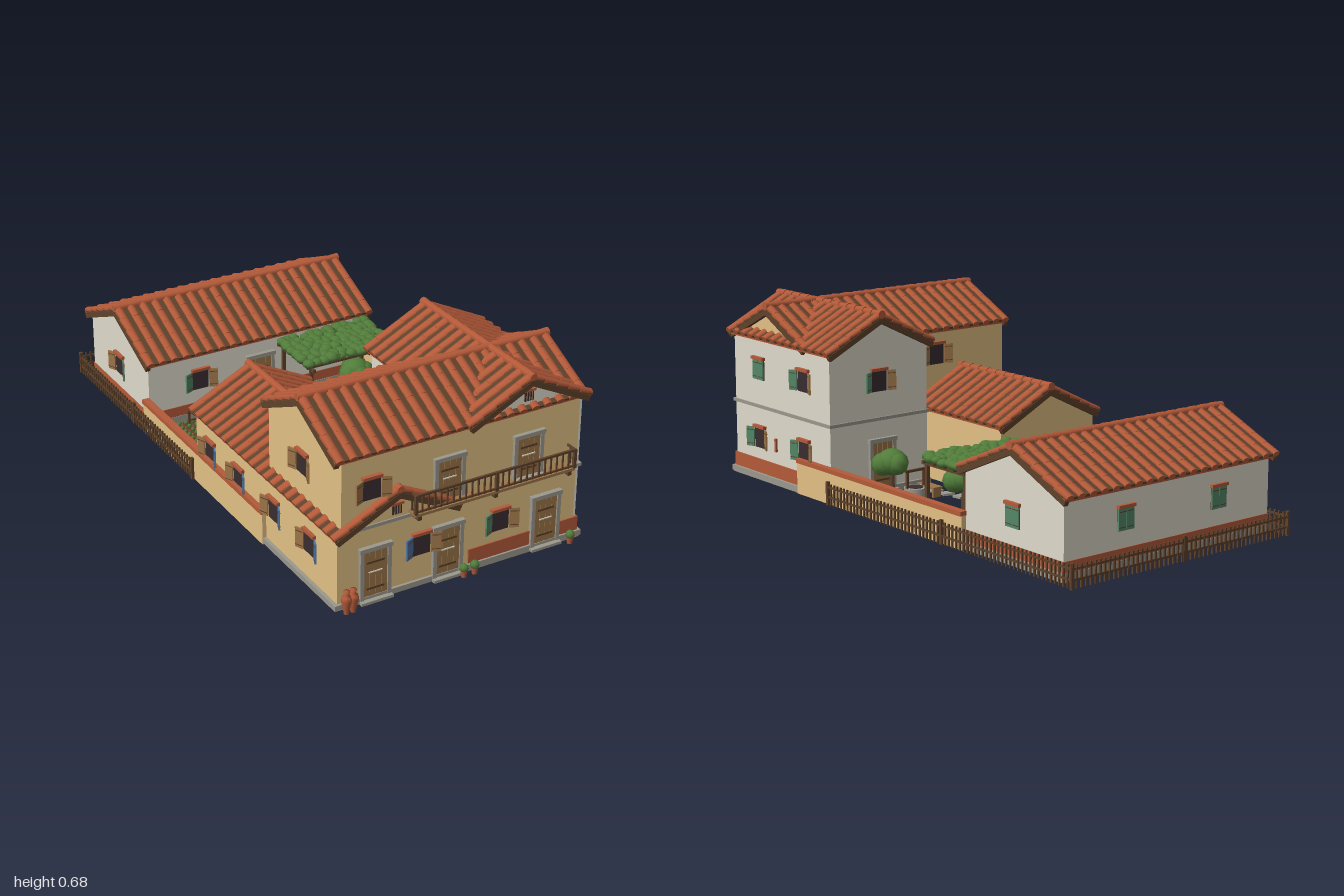
import * as THREE from 'three';
import { mergeGeometries } from 'three/addons/utils/BufferGeometryUtils.js';

const mat = (name, color) => {
  const m = new THREE.MeshStandardMaterial({ color });
  m.name = name;
  return m;
};
const M = {
  tan: mat('ochre plaster', 0xe2c084), pale: mat('pale plaster', 0xdfdacb),
  tile: mat('terracotta', 0xb45a39), stone: mat('stone', 0x9b988d),
  wood: mat('wood', 0x9b7448), dark: mat('dark wood', 0x5e422b),
  hole: mat('dark opening', 0x392d30), leaf: mat('foliage', 0x527d3b),
  blue: mat('blue paint', 0x5076a4), green: mat('green paint', 0x558768),
};

// ---- helpers ----
function part(parent, name, material, ...geos) {
  const mesh = new THREE.Mesh(geos.length > 1 ? mergeGeometries(geos) : geos[0], material);
  mesh.name = name;
  parent.add(mesh);
  return mesh;
}
function group(parent, name, x = 0, y = 0, z = 0, ry = 0) {
  const g = new THREE.Group();
  g.name = name;
  g.position.set(x, y, z);
  g.rotation.y = ry;
  parent.add(g);
  return g;
}
const box = (w, h, d, x = 0, y = 0, z = 0) => new THREE.BoxGeometry(w, h, d).translate(x, y, z);
const span = (x0, x1, y0, y1, z0, z1) =>
  box(x1 - x0, y1 - y0, z1 - z0, (x0 + x1) / 2, (y0 + y1) / 2, (z0 + z1) / 2);
const ball = (r, x, y, z, sy = 1, n = 8) =>
  new THREE.SphereGeometry(r, n, Math.max(4, n - 2)).scale(1, sy, 1).translate(x, y, z);
const cyl = (rt, rb, h, x, y, z, n = 10) => new THREE.CylinderGeometry(rt, rb, h, n).translate(x, y, z);
let seed = 7;
const rand = () => (seed = (seed * 16807) % 2147483647) / 2147483647;

// Gable roof with its ridge along local x at y = 0: rows of cover tiles on a dark deck
function tiledRoof(parent, length, half, rise, rows = 5) {
  const a = Math.atan2(rise, half), slope = Math.hypot(half, rise), step = slope / rows;
  const tiles = [box(length, 0.014, 0.012, 0, -rise - 0.006, half - 0.012)];
  const deck = [box(length, 0.01, slope).translate(0, -0.002, slope / 2).rotateX(a)];
  const count = Math.round(length / 0.05), pitch = (length - 0.03) / count;
  for (let r = 0; r < rows; r++) {
    const mid = (r + 0.5) * step;
    for (let i = 0; i <= count; i++) {
      tiles.push(new THREE.CylinderGeometry(0.0155, 0.018, step * 1.08, 8, 1).rotateX(Math.PI / 2).scale(1, 0.72, 1)
        .rotateX(a - 0.05).translate((i - count / 2) * pitch, -Math.sin(a) * mid, Math.cos(a) * mid));
    }
  }
  for (const x of [-length / 2 + 0.008, length / 2 - 0.008])
    deck.push(box(0.018, 0.02, slope).translate(0, -0.018, slope / 2).rotateX(a).translate(x, 0, 0));
  for (const ry of [0, Math.PI]) {
    const side = group(parent, 'roofSlope', 0, 0, 0, ry);
    part(side, 'roofTiles', M.tile, ...tiles);
    part(side, 'roofDeck', M.dark, ...deck);
  }
  const caps = [], capStep = length / count;
  for (let i = 0; i < count; i++)
    caps.push(new THREE.CylinderGeometry(0.013, 0.016, capStep * 1.1, 8).rotateZ(Math.PI / 2)
      .translate(-length / 2 + (i + 0.5) * capStep, 0.002, 0));
  part(parent, 'ridgeTiles', M.tile, ...caps);
}

// House with pentagon walls: wall and roof lengths follow the ridge, halves cross it
function house(parent, name, o) {
  const g = group(parent, name, o.x, 0, o.z, o.turn ? Math.PI / 2 : 0);
  const rise = o.ridge - o.eave, top = o.ridge - 0.012;
  const low = top - rise * o.wallHalf / o.roofHalf;
  const s = new THREE.Shape([[-o.wallHalf, o.y0], [o.wallHalf, o.y0], [o.wallHalf, low], [0, top], [-o.wallHalf, low]]
    .map(p => new THREE.Vector2(...p)));
  part(g, 'walls', o.mat, new THREE.ExtrudeGeometry(s, { depth: o.wallLen, bevelEnabled: false })
    .translate(0, 0, -o.wallLen / 2).rotateY(Math.PI / 2));
  tiledRoof(group(g, 'roof', 0, o.ridge, 0), o.roofLen, o.roofHalf, rise);
}

// Window facing local +z; paintSide is the side of the painted shutter, 0 closes both
function addWindow(parent, x, y, z, ry, paint, paintSide = -1) {
  const g = group(parent, 'window', x, y, z, ry);
  part(g, 'opening', M.hole, box(0.066, 0.076, 0.006));
  part(g, 'lintel', M.tile, box(0.074, 0.011, 0.024, 0, 0.043, 0));
  for (const s of [-1, 1]) {
    const open = paintSide !== 0;
    const leafGroup = group(g, 'shutter', s * 0.034, 0, 0.004, open ? -s * 0.4 : 0);
    const cx = open ? s * 0.018 : -s * 0.017;
    part(leafGroup, 'shutterPanel', !open || s === paintSide ? paint : M.wood, box(0.033, 0.074, 0.006, cx, 0, 0));
    part(leafGroup, 'shutterBattens', M.dark, ...[-0.026, 0.026].map(v => box(0.028, 0.003, 0.008, cx, v, 0)));
  }
}
// Plank door facing local +z, y at its threshold
function addDoor(parent, x, y, z, ry, h = 0.19) {
  const g = group(parent, 'door', x, y, z, ry);
  part(g, 'planks', M.wood, ...[-1.5, -0.5, 0.5, 1.5].map(i => box(0.0215, h, 0.01, i * 0.0225, h / 2, 0)));
  part(g, 'doorStraps', M.dark, box(0.088, h, 0.006, 0, h / 2, 0),
    ...[0.25, 0.76].map(k => box(0.066, 0.007, 0.014, 0, h * k, 0)));
  part(g, 'latch', M.pale, box(0.05, 0.004, 0.016, 0, h * 0.57, 0));
  part(g, 'stoneFrame', M.stone, box(0.014, h, 0.02, -0.051, h / 2, 0), box(0.014, h, 0.02, 0.051, h / 2, 0),
    box(0.122, 0.015, 0.026, 0, h + 0.006, 0), box(0.12, 0.01, 0.04, 0, 0.005, 0.004));
}
function addVent(parent, x, y, z) {
  const g = group(parent, 'gableVent', x, y, z);
  part(g, 'opening', M.hole, box(0.034, 0.036, 0.008));
  part(g, 'ventBars', M.wood, ...[-0.01, 0, 0.01].map(v => box(0.003, 0.036, 0.012, v, 0, 0)));
  part(g, 'lintel', M.tile, box(0.046, 0.009, 0.016, 0, 0.021, 0));
}
function addFence(parent, x, z, length, ry) {
  const g = group(parent, 'fence', x, 0, z, ry), n = Math.round(length / 0.02);
  const bars = [box(length, 0.007, 0.005, 0, 0.03, 0), box(length, 0.007, 0.005, 0, 0.066, 0)];
  for (let i = 0; i <= n; i++) bars.push(box(0.006, 0.078, 0.006, (i / n - 0.5) * length, 0.04, 0));
  for (const v of [-0.5, 0, 0.5]) bars.push(box(0.012, 0.086, 0.01, v * length, 0.043, 0));
  part(g, 'pickets', M.dark, ...bars);
}
function addTree(parent, x, z) {
  const g = group(parent, 'tree', x, 0, z);
  part(g, 'trunk', M.dark, cyl(0.008, 0.012, 0.14, 0, 0.07, 0, 7));
  part(g, 'crown', M.leaf, ball(0.056, 0, 0.168, 0, 0.85, 10), ball(0.042, 0.03, 0.16, 0.015),
    ball(0.042, -0.03, 0.16, 0.01), ball(0.04, 0, 0.165, -0.03), ball(0.04, 0, 0.16, 0.03));
}

export function createModel() {
  const root = new THREE.Group();
  root.name = 'courtyardFarmhouse';
  const H = Math.PI / 2;

  // Four houses: wide front block, tall cross wing, low wing, rear barn
  house(root, 'frontHouse', { x: 0, z: 0.715, y0: 0.002, eave: 0.545, ridge: 0.664, wallHalf: 0.235, roofHalf: 0.245,
    wallLen: 0.905, roofLen: 0.955, mat: M.tan });
  house(root, 'crossWing', { x: 0.248, z: 0.6375, y0: 0.004, eave: 0.545, ridge: 0.663, wallHalf: 0.217, roofHalf: 0.238,
    wallLen: 0.615, roofLen: 0.66, turn: true, mat: M.pale });
  house(root, 'lowWing', { x: -0.247, z: 0.461, y0: 0.002, eave: 0.275, ridge: 0.393, wallHalf: 0.22, roofHalf: 0.238,
    wallLen: 0.982, roofLen: 1.02, turn: true, mat: M.tan });
  house(root, 'rearBarn', { x: 0, z: -0.68, y0: 0.004, eave: 0.28, ridge: 0.4, wallHalf: 0.245, roofHalf: 0.275,
    wallLen: 0.92, roofLen: 0.955, mat: M.pale });

  // Stone footings, string course and red plinths
  part(root, 'footings', M.stone, span(-0.48, 0.48, 0.006, 0.026, 0.48, 0.962),
    span(0.02, 0.475, 0, 0.026, 0.32, 0.96), span(-0.465, 0.465, 0, 0.03, -0.93, -0.43));
  part(root, 'stringCourse', M.stone, span(-0.456, 0.47, 0.274, 0.286, 0.6, 0.957), span(0.025, 0.47, 0.274, 0.286, 0.325, 0.62));
  part(root, 'plinths', M.tile, span(0.03, 0.469, 0.026, 0.078, 0.52, 0.955),
    span(-0.463, 0.463, 0.03, 0.068, -0.928, -0.432));

  // Front openings
  for (const x of [-0.33, -0.055, 0.33]) addDoor(root, x, 0.006, 0.955, 0);
  for (const x of [-0.055, 0.25]) addDoor(root, x, 0.29, 0.952, 0, 0.156);
  addWindow(root, -0.345, 0.418, 0.953, 0, M.wood);
  addWindow(root, -0.155, 0.158, 0.954, 0, M.blue);
  addWindow(root, 0.15, 0.158, 0.954, 0, M.green);
  addVent(root, 0.248, 0.59, 0.946);
  addVent(root, -0.25, 0.317, 0.953);

  // Side openings of the tall blocks
  addWindow(root, 0.467, 0.42, 0.78, H, M.green, 0);
  addWindow(root, 0.467, 0.42, 0.49, H, M.green);
  for (const z of [0.78, 0.49]) addWindow(root, 0.467, 0.16, z, H, M.green);
  part(root, 'wallLantern', M.tile, box(0.01, 0.05, 0.01, 0.468, 0.15, 0.675));
  addWindow(root, -0.454, 0.418, 0.71, -H, M.wood);
  for (const z of [0.08, 0.29, 0.54, 0.78]) addWindow(root, -0.468, 0.16, z, -H, M.blue, 1);

  // Courtyard openings
  addWindow(root, -0.13, 0.45, 0.479, Math.PI, M.wood);
  addWindow(root, 0.25, 0.42, 0.329, Math.PI, M.green);
  addDoor(root, 0.24, 0.006, 0.327, Math.PI);
  addDoor(root, -0.2, 0.006, -0.032, Math.PI);
  addDoor(root, 0, 0.006, -0.43, 0);
  for (const x of [-0.25, 0.25]) addWindow(root, x, 0.16, -0.434, 0, M.green);

  // Rear barn outer windows
  for (const x of [-0.22, 0.2]) addWindow(root, x, 0.165, -0.926, Math.PI, M.green, 0);
  addWindow(root, 0.461, 0.165, -0.68, H, M.green, 0);
  addWindow(root, -0.461, 0.165, -0.68, -H, M.green, 1);

  // Balcony
  const balcony = group(root, 'balcony', 0.105, 0, 0);
  part(balcony, 'balconyFloor', M.wood, box(0.62, 0.01, 0.045, 0, 0.295, 0.972));
  const rails = [box(0.62, 0.008, 0.008, 0, 0.367, 0.992), box(0.62, 0.006, 0.006, 0, 0.308, 0.992)];
  for (let i = 0; i <= 26; i++) rails.push(box(0.005, 0.066, 0.005, -0.307 + i * 0.0236, 0.336, 0.992));
  for (const x of [-0.307, 0, 0.307]) {
    rails.push(box(0.011, 0.07, 0.011, x, 0.335, 0.992), box(0.014, 0.018, 0.045, x * 0.95, 0.283, 0.97));
    if (x) rails.push(box(0.006, 0.008, 0.04, x, 0.367, 0.972), box(0.006, 0.06, 0.006, x, 0.335, 0.968));
  }
  part(balcony, 'railing', M.dark, ...rails);

  // Amphorae and potted shrubs by the front
  const jar = [[0.009, 0], [0.011, 0.015], [0.019, 0.05], [0.016, 0.063], [0.008, 0.07], [0.012, 0.084], [0.001, 0.084]]
    .map(p => new THREE.Vector2(...p));
  for (const x of [-0.447, -0.422]) part(root, 'amphora', M.tile, new THREE.LatheGeometry(jar, 10).translate(x, 0, 0.978));
  for (const x of [-0.003, 0.039, 0.422]) {
    part(root, 'pot', M.tile, cyl(0.013, 0.009, 0.028, x, 0.014, 0.981));
    part(root, 'shrub', M.leaf, ball(0.016, x, 0.034, 0.981));
  }

  // Yard walls with tiled coping, and fences
  for (const [s, z1] of [[1, 0.52], [-1, 0.48]]) {
    const w = group(root, 'yardWall', s * 0.473, 0, (z1 - 0.44) / 2);
    part(w, 'wall', M.tan, box(0.018, 0.117, z1 + 0.44, 0, 0.0595, 0));
    part(w, 'coping', M.tile, box(0.028, 0.016, z1 + 0.44, 0, 0.125, 0));
  }
  addFence(root, 0.487, -0.338, 1.315, H);
  addFence(root, -0.487, -0.515, 0.96, H);
  addFence(root, 0, -0.995, 0.974, 0);

  // Vegetable bed: leafy rows with ripe fruit, a low trellis and a square stone cistern
  part(root, 'soilBed', M.dark, span(-0.43, -0.085, 0, 0.012, -0.41, -0.055));
  const crops = [], fruit = [];
  for (let i = 0; i < 12; i++) for (let j = 0; j < 12; j++) {
    if (i < 4 && j > 7) continue;
    const x = -0.42 + i * 0.029, z = -0.395 + j * 0.029;
    crops.push(ball(0.008, x, 0.017, z, 1, 6));
    fruit.push(ball(0.004, x + 0.0145, 0.013, z, 1, 5));
  }
  part(root, 'crops', M.leaf, ...crops);
  part(root, 'fruit', M.tile, ...fruit);
  part(root, 'trellis', M.dark, ...[0.03, 0.06].map(y => box(0.11, 0.006, 0.006, -0.275, y, -0.383)),
    ...[-0.05, 0, 0.05].map(v => box(0.007, 0.07, 0.007, -0.275 + v, 0.035, -0.383)));
  const cistern = group(root, 'cistern', -0.36, 0, -0.115);
  part(cistern, 'basin', M.stone, box(0.1, 0.03, 0.1, 0, 0.015, 0), cyl(0.038, 0.04, 0.03, 0, 0.045, 0, 14));
  part(cistern, 'water', M.hole, cyl(0.026, 0.026, 0.004, 0, 0.06, 0, 14));

  // Stepping stones
  for (let i = 0; i < 11; i++) {
    const stone = part(root, 'steppingStone', M.stone, box(0.044, 0.008, 0.038));
    stone.position.set(0.015 + i * 0.006 + (rand() - 0.5) * 0.02, 0.004, -0.34 + i * 0.063);
    stone.rotation.y = (rand() - 0.5) * 0.6;
  }

  // Vine-covered pergola
  const pergola = group(root, 'pergola', 0.245, 0, -0.28);
  const frame = [];
  for (const x of [-0.17, 0.17]) {
    frame.push(box(0.012, 0.012, 0.27, x, 0.236, 0));
    for (const z of [-0.1, 0.11]) frame.push(box(0.013, 0.24, 0.013, x, 0.12, z));
  }
  for (let i = 0; i < 5; i++) frame.push(box(0.38, 0.008, 0.01, 0, 0.244, -0.11 + i * 0.055));
  part(pergola, 'pergolaFrame', M.dark, ...frame);
  const vine = [];
  for (let i = 0; i < 13; i++) for (let j = 0; j < 8; j++)
    vine.push(ball(0.022 + rand() * 0.007, -0.178 + i * 0.0297 + (rand() - 0.5) * 0.018, 0.255 + rand() * 0.008,
      -0.1 + j * 0.029 + (rand() - 0.5) * 0.018, 0.65, 7));
  part(pergola, 'vine', M.leaf, ...vine);

  // Trees, well and bench
  addTree(root, 0.33, 0.145);
  addTree(root, 0.28, -0.2);
  const well = group(root, 'well', 0.23, 0, 0.14);
  part(well, 'wellRing', M.stone, cyl(0.042, 0.042, 0.06, 0, 0.03, 0, 16));
  part(well, 'wellShaft', M.hole, cyl(0.028, 0.028, 0.004, 0, 0.06, 0, 16));
  part(well, 'wellFrame', M.dark, box(0.008, 0.07, 0.008, -0.037, 0.09, 0), box(0.008, 0.07, 0.008, 0.037, 0.09, 0),
    box(0.09, 0.009, 0.009, 0, 0.122, 0));
  part(root, 'bench', M.wood, box(0.04, 0.008, 0.1, 0.12, 0.035, 0.2),
    ...[-0.04, 0.04].map(v => box(0.034, 0.032, 0.008, 0.12, 0.016, 0.2 + v)));
  return root;
}
